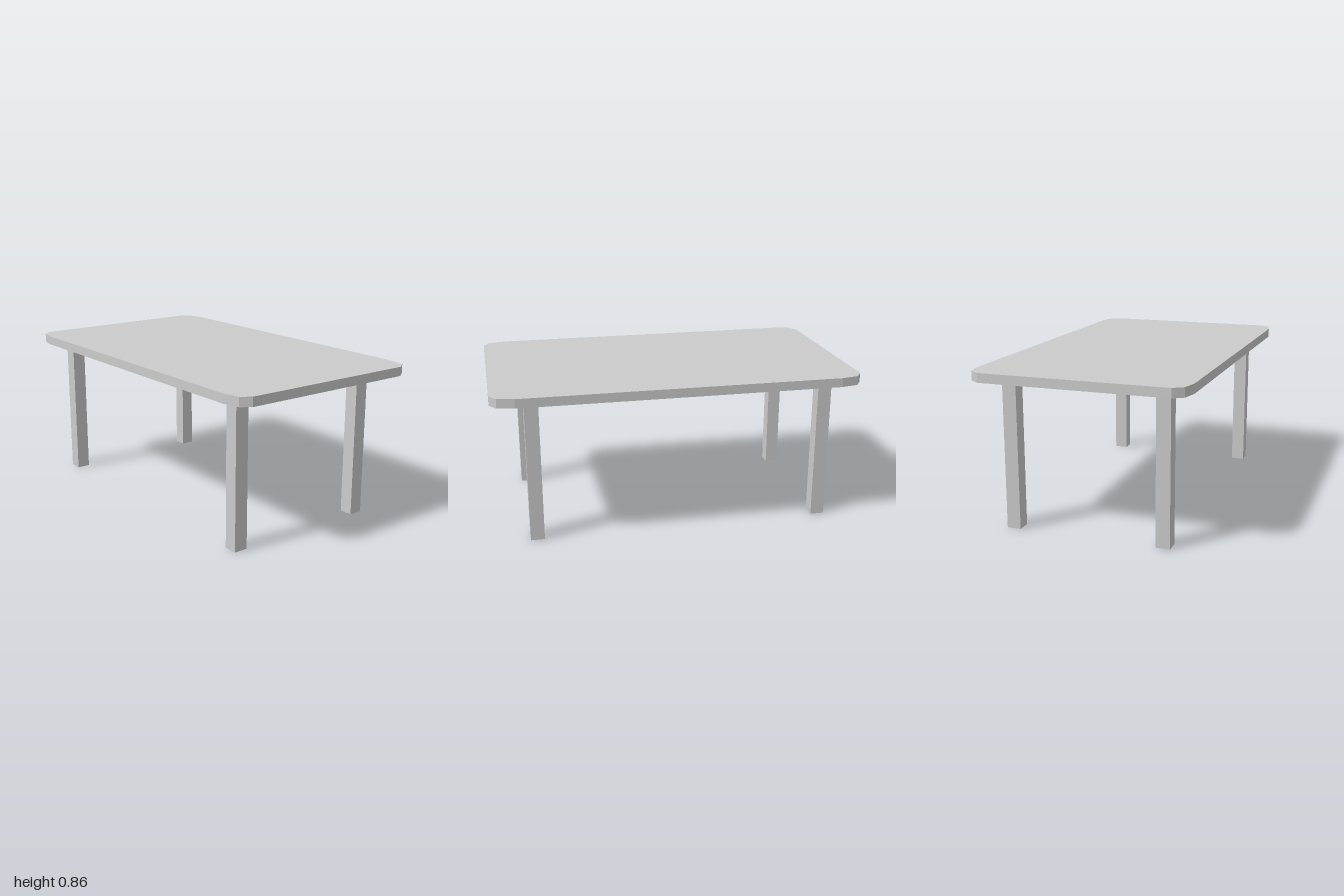
import * as THREE from 'three';

const TOP_Y = 0.86, THICKNESS = 0.05, LEG = 0.076;

export function createModel() {
  const table = new THREE.Group();
  table.name = 'table';
  const material = new THREE.MeshStandardMaterial({ color: 0xcccccc, flatShading: true });

  // Tabletop: a slab whose corners are each cut by three facets
  const corner = [[0.58, 0.87], [0.56, 0.963], [0.506, 1]];
  const mirrored = (sx, sz) => corner.map(([x, z]) => new THREE.Vector2(x * sx, z * sz));
  const outline = [
    ...mirrored(1, 1), ...mirrored(-1, 1).reverse(),
    ...mirrored(-1, -1), ...mirrored(1, -1).reverse(),
  ];
  const slab = new THREE.ExtrudeGeometry(new THREE.Shape(outline), { depth: THICKNESS, bevelEnabled: false });
  slab.rotateX(-Math.PI / 2);
  const tabletop = new THREE.Mesh(slab, material);
  tabletop.name = 'tabletop';
  tabletop.position.y = TOP_Y - THICKNESS;
  table.add(tabletop);

  // Four square legs, set slightly off centre under the top
  const height = TOP_Y - THICKNESS;
  const legGeometry = new THREE.BoxGeometry(LEG, height, LEG);
  for (const [side, x] of [['Left', 0.404], ['Right', -0.425]]) {
    for (const [end, z] of [['front', 0.786], ['back', -0.828]]) {
      const leg = new THREE.Mesh(legGeometry, material);
      leg.name = `${end}${side}Leg`;
      leg.position.set(x, height / 2, z);
      table.add(leg);
    }
  }
  return table;
}
